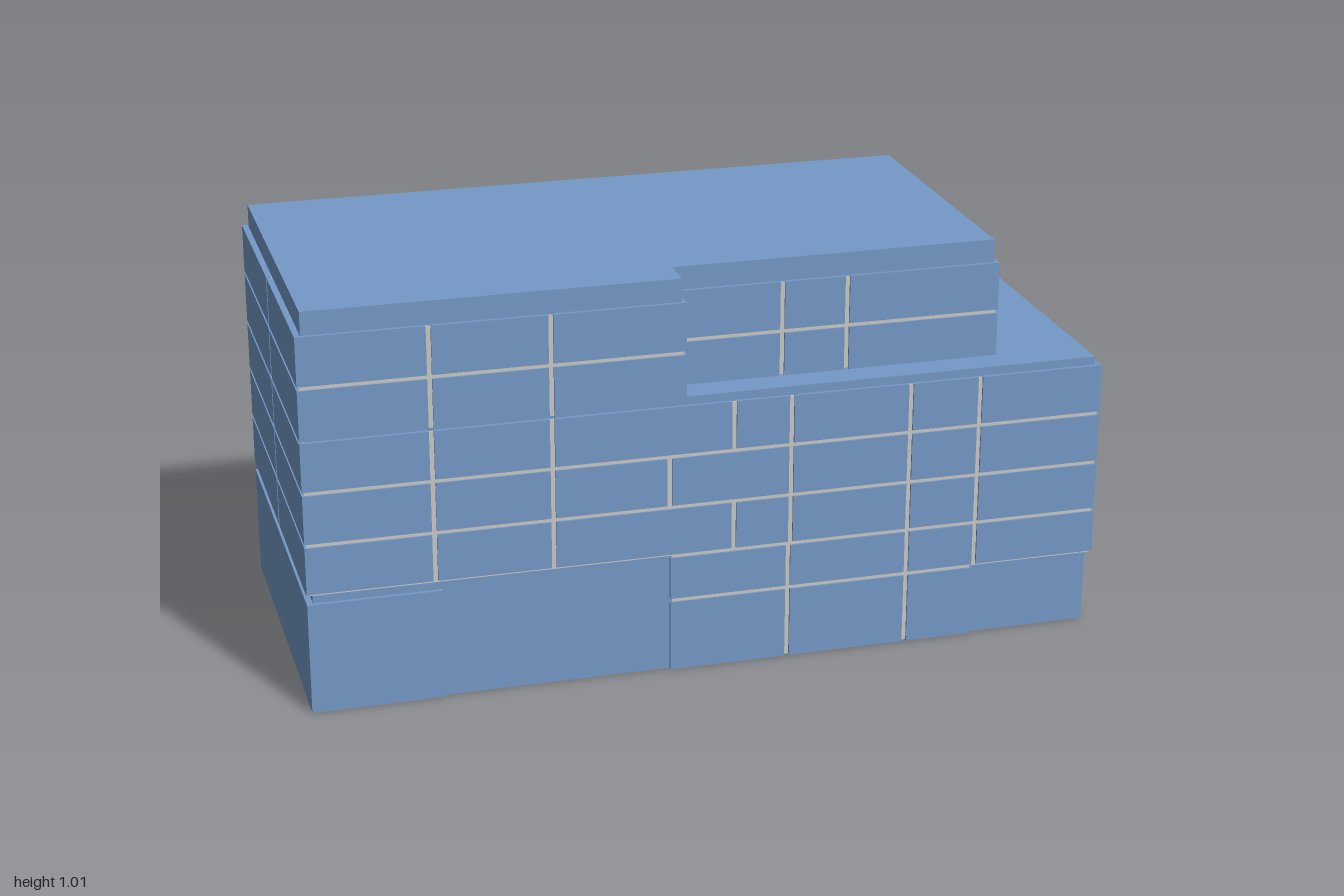
import * as THREE from 'three';

export function createModel() {
  const model = new THREE.Group();
  const blue = new THREE.MeshStandardMaterial({ color: 0x7499c6 });
  blue.name = 'blue cladding';
  const grey = new THREE.MeshStandardMaterial({ color: 0xcac8c4 });
  grey.name = 'light grey joint';

  // Box from its minimum and maximum corners
  function block(parent, name, mat, [x0, y0, z0], [x1, y1, z1]) {
    const m = new THREE.Mesh(new THREE.BoxGeometry(x1 - x0, y1 - y0, z1 - z0), mat);
    m.position.set((x0 + x1) / 2, (y0 + y1) / 2, (z0 + z1) / 2);
    m.name = name;
    parent.add(m);
  }

  // Slab on a wall plane: axis is the wall normal, "out" its signed thickness
  function slab(parent, name, mat, axis, plane, out, u0, u1, y0, y1) {
    const a = Math.min(plane, plane + out), b = Math.max(plane, plane + out);
    if (axis === 'z') block(parent, name, mat, [u0, y0, a], [u1, y1, b]);
    else block(parent, name, mat, [a, y0, u0], [b, y1, u1]);
  }

  // Wall of panels. Each row is [y0, y1, [u edges and joints]]; a joint backing fills the gaps.
  const VG = 0.006, HG = 0.005, IN = 0.005;
  function wall(name, axis, plane, out, rows) {
    const g = new THREE.Group();
    g.name = name;
    const low = rows[0][0], high = rows[rows.length - 1][1];
    for (const [y0, y1, us] of rows) {
      const n = us.length - 1;
      const b = y0 === low ? y0 : y0 + HG, t = y1 === high ? y1 : y1 - HG;
      slab(g, 'jointBacking', grey, axis, plane, out * 0.5, us[0] + IN, us[n] - IN,
        y0 === low ? y0 + 0.002 : y0, y1 === high ? y1 - 0.002 : y1);
      for (let i = 0; i < n; i++) {
        slab(g, 'panel', blue, axis, plane, out,
          us[i] + (i > 0 ? VG : 0), us[i + 1] - (i < n - 1 ? VG : 0), b, t);
      }
    }
    model.add(g);
  }

  // Core volumes
  const W = 0.985, F = 0.437, B = -0.427, NF = 0.349, NX = -0.08, EX = 0.74;
  block(model, 'lowerCore', blue, [-W, 0, B], [W, 0.713, F]);
  const s = new THREE.Shape([[-W, -F], [NX, -F], [NX, -NF], [EX, -NF], [EX, -B], [-W, -B]]
    .map(([x, y]) => new THREE.Vector2(x, y)));
  const upperGeo = new THREE.ExtrudeGeometry(s, { depth: 0.298, bevelEnabled: false });
  upperGeo.rotateX(-Math.PI / 2);
  const upper = new THREE.Mesh(upperGeo, blue);
  upper.position.y = 0.713;
  upper.name = 'upperCore';
  model.add(upper);

  // Floor levels
  const [L1, L2, L3, L4, L5, L6, L7] = [0.186, 0.304, 0.433, 0.565, 0.692, 0.827, 0.953];

  // Front
  wall('frontWall', 'z', F, 0.01, [
    [0, L1, [-0.11, 0.19, 0.5, 0.675]],
    [L1, L2, [-0.11, 0.19, 0.5, 0.68, 1]],
    [L2, L3, [-1, -0.69, -0.4, 0.05, 0.195, 0.5, 0.68, 1]],
    [L3, L4, [-1, -0.69, -0.4, -0.112, 0.195, 0.5, 0.68, 1]],
    [L4, L5, [-1, -0.69, -0.4, 0.05, 0.195, 0.5, 0.68, 1]],
  ]);
  wall('upperFrontWall', 'z', F, 0.01, [
    [L5 + HG, L6, [-1, -0.69, -0.4, -0.07]],
    [L6, L7, [-1, -0.69, -0.4, -0.07]],
  ]);
  wall('frontGroundPanel', 'z', F, 0.01, [[0, 0.282, [-1, -0.675]]]);

  // Terrace recess
  wall('terraceFrontWall', 'z', NF, 0.01, [
    [0.713, L6, [-0.07, 0.195, 0.36, 0.752]],
    [L6, L7, [-0.07, 0.195, 0.36, 0.752]],
  ]);
  wall('terraceSideWall', 'x', NX, 0.01, [
    [0.713, L6, [0.361, F]],
    [L6, L7, [0.361, F]],
  ]);

  // Upper right side, with a bare slot between the panel fields
  wall('upperRightFrontWall', 'x', EX, 0.012, [
    [0.713, L6, [0.038, 0.354]],
    [L6, L7, [0.038, 0.354]],
  ]);
  wall('upperRightSlotPanel', 'x', EX, 0.008, [[0.713, L6 - HG, [0.002, 0.038]]]);
  wall('upperRightMiddleWall', 'x', EX, 0.012, [
    [0.713, L6, [-0.062, -0.004]],
    [L6, L7, [-0.062, -0.004]],
  ]);
  wall('upperRightBackWall', 'x', EX, 0.023, [
    [0.713, L6, [B, -0.062]],
    [L6, L7, [B, -0.062]],
  ]);

  // Left and right sides
  const levels = [L1, L2, L3, L4, L5, L6, L7];
  const stack = (from, to, us) => {
    const rows = [];
    for (let i = from; i < to; i++) rows.push([levels[i], levels[i + 1], us]);
    return rows;
  };
  wall('rightWall', 'x', W, 0.015, stack(0, 4, [B, 0, F]));
  wall('leftWall', 'x', -W, -0.015, stack(1, 6, [B, 0, F]));
  wall('leftGroundPanel', 'x', -W, -0.015, [[0, 0.282, [B, F]]]);

  // Back, with a bare vertical slot
  wall('backRightWall', 'z', B, -0.016, [
    ...stack(0, 4, [0.18, 0.51, 0.685, 1]),
    ...stack(4, 6, [0.18, 0.38, 0.763]),
  ]);
  wall('backLeftWall', 'z', B, -0.016, stack(1, 6, [-1, -0.68, -0.38, 0.066]));
  wall('backGroundPanel', 'z', B, -0.012, [[0, 0.282, [-1, -0.67]]]);

  return model;
}
